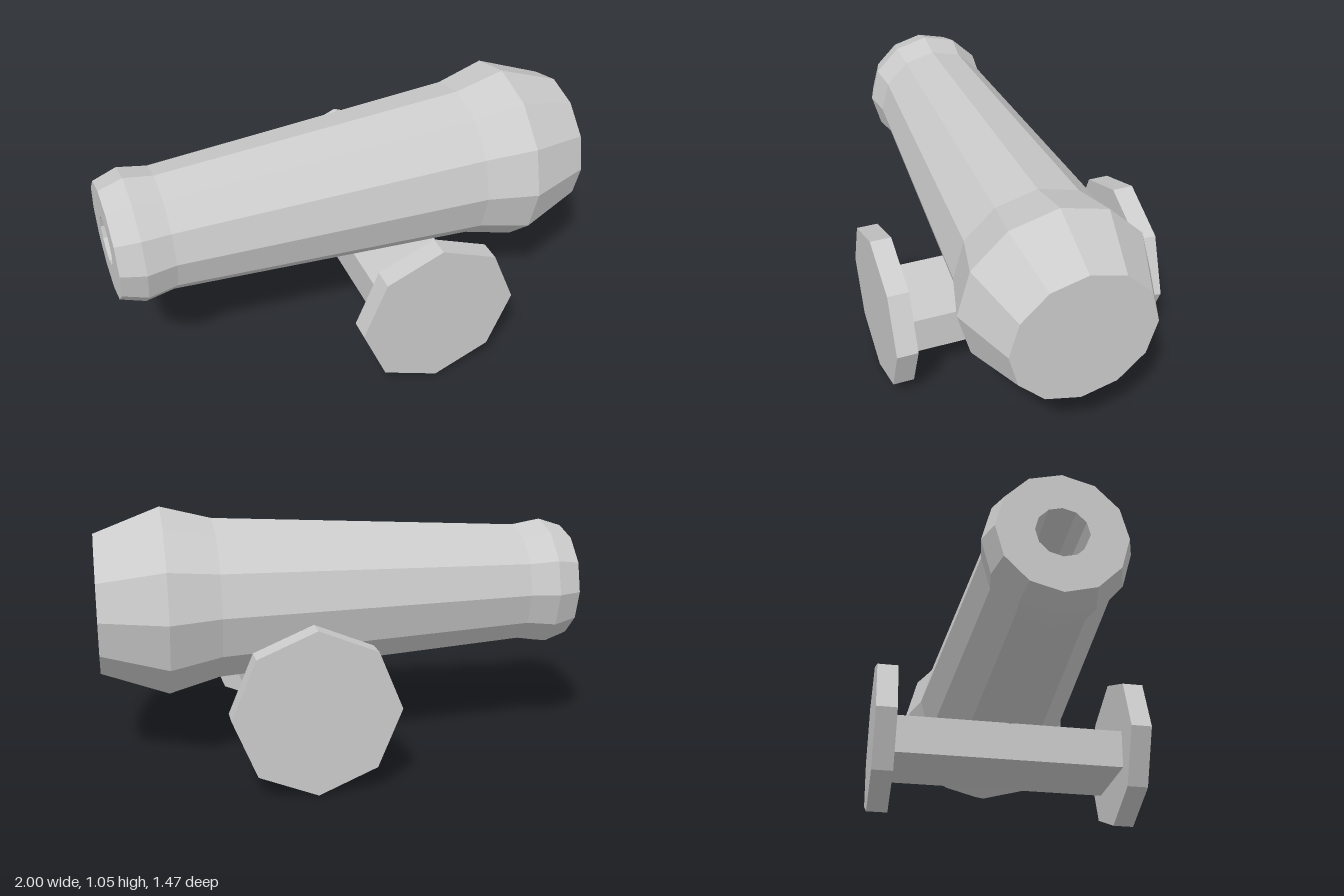
import * as THREE from 'three';

export function createModel() {
  const model = new THREE.Group();
  model.name = 'cannon';
  const material = new THREE.MeshStandardMaterial({ color: 0xcccccc, flatShading: true });

  // Local frame: the barrel lies along x with its muzzle at -x
  const cannon = new THREE.Group();
  cannon.name = 'cannonBody';
  cannon.position.set(-0.015, 0, -0.03);
  cannon.rotation.y = -Math.PI / 6;
  model.add(cannon);

  const add = (name, geometry, x, y, z) => {
    const mesh = new THREE.Mesh(geometry, material);
    mesh.name = name;
    mesh.position.set(x, y, z);
    cannon.add(mesh);
    return mesh;
  };

  // Barrel: [radius, distance along axis], from the bore's bottom out to the breech
  const profile = [
    [0, -0.4], [0.1, -0.4], [0.1, -1],
    [0.242, -1], [0.275, -0.9], [0.255, -0.78],
    [0.335, 0.525], [0.39, 0.733], [0.29, 1], [0, 1],
  ].map(([r, s]) => new THREE.Vector2(r, s));
  const barrel = new THREE.LatheGeometry(profile, 12);
  barrel.rotateZ(-Math.PI / 2);
  add('barrel', barrel, 0, 0.665, 0);

  // Axle beam under the barrel
  const axleX = 0.198;
  add('axle', new THREE.BoxGeometry(0.37, 0.165, 0.99), axleX, 0.2825, 0);

  // Eight-sided wheels with a corner at the top
  for (const side of [-1, 1]) {
    const wheel = new THREE.CylinderGeometry(0.333, 0.333, 0.088, 8);
    wheel.rotateX(Math.PI / 2);
    add(side > 0 ? 'frontWheel' : 'rearWheel', wheel, axleX, 0.333, side * 0.53);
  }

  return model;
}
